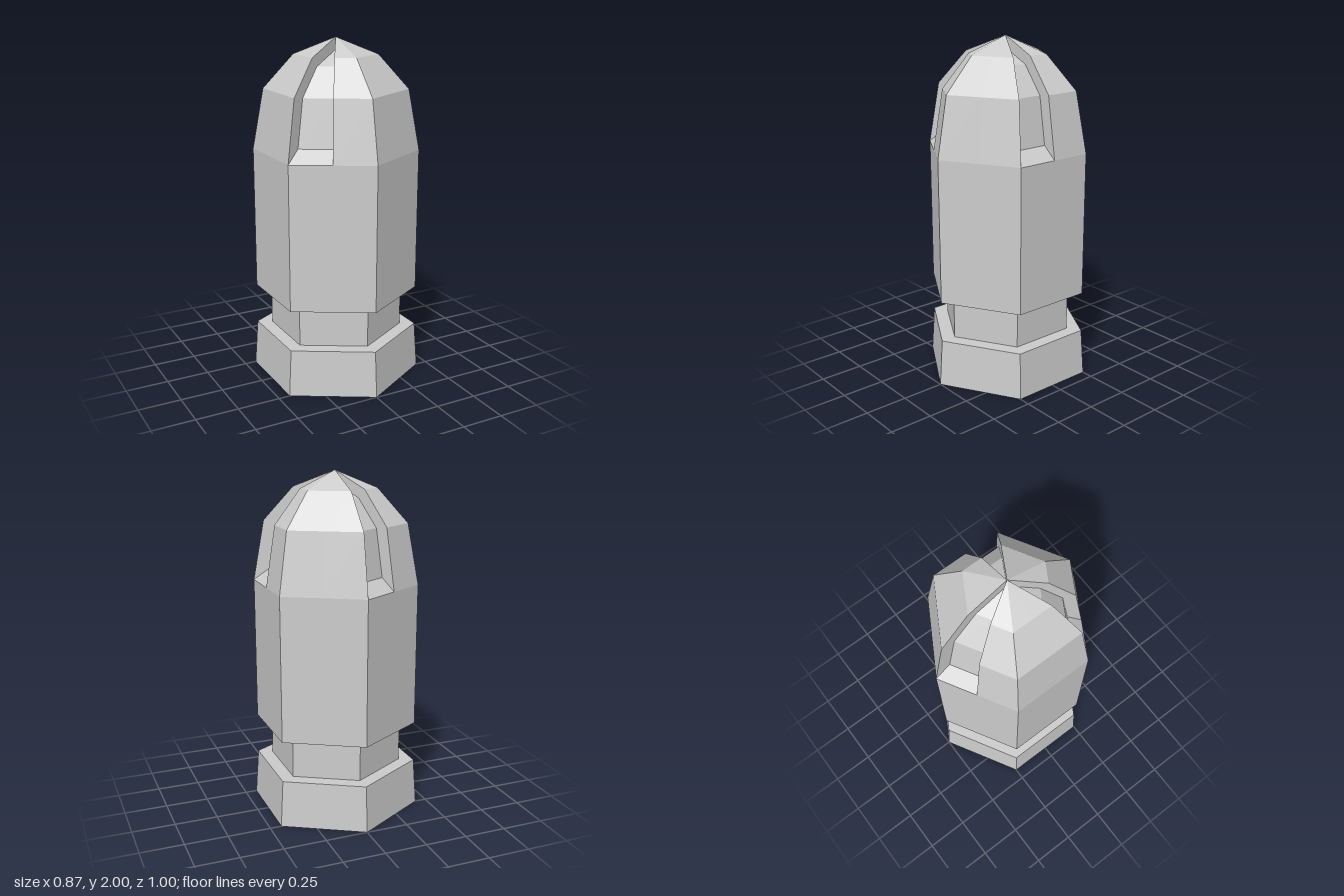
import * as THREE from 'three';

const material = new THREE.MeshStandardMaterial({ color: 0xcccccc, flatShading: true });

// Profiles as [corner radius, height], bottom to top
const BASE = [[0, 0], [0.5, 0], [0.48, 0.275], [0.39, 0.275]];
const NECK = [[0.39, 0.275], [0.39, 0.515]];
const BODY = [[0.39, 0.515], [0.48, 0.515], [0.48, 1.36]];
const NOSE = [[0.48, 1.36], [0.415, 1.71], [0.24, 1.905], [0, 2]];
const FLOOR = [[0.48, 1.36], [0.385, 1.43], [0.335, 1.7], [0.193, 1.855], [0, 1.93]];
// Outer nose edge matched point for point with the groove floor
const RIM = [NOSE[0], ...NOSE];

const ALL = [...Array(12).keys()];
const GROOVES = [0, 4, 8]; // every third face loses one half

// Point on the hexagon at step k of 30 degrees; odd steps are corners
function point([r, y], k) {
  const a = (k * Math.PI) / 6;
  const d = k % 2 ? r : r * Math.cos(Math.PI / 6);
  return new THREE.Vector3(d * Math.cos(a), y, d * Math.sin(a));
}

// Adds a quad, dropping triangles that have collapsed
function quad(out, a, b, c, d) {
  for (const t of [[a, b, c], [a, c, d]]) {
    if (new THREE.Triangle(...t).getArea() > 1e-7) t.forEach((p) => out.push(p.x, p.y, p.z));
  }
}

// Half-face strips following a profile
function strips(out, profile, steps) {
  for (const k of steps) {
    for (let j = 0; j < profile.length - 1; j++) {
      const p = profile[j], q = profile[j + 1];
      quad(out, point(p, k + 1), point(p, k), point(q, k), point(q, k + 1));
    }
  }
  return out;
}

// Radial side wall between groove floor and nose surface
function wall(out, k, flip) {
  for (let j = 0; j < FLOOR.length - 1; j++) {
    const c = [FLOOR[j], RIM[j], RIM[j + 1], FLOOR[j + 1]].map((p) => point(p, k));
    quad(out, ...(flip ? c.reverse() : c));
  }
}

function mesh(name, positions) {
  const g = new THREE.BufferGeometry();
  g.setAttribute('position', new THREE.Float32BufferAttribute(positions, 3));
  g.computeVertexNormals();
  const m = new THREE.Mesh(g, material);
  m.name = name;
  return m;
}

export function createModel() {
  const model = new THREE.Group();
  model.name = 'hexagonalBullet';

  model.add(mesh('base', strips([], BASE, ALL)));
  model.add(mesh('neck', strips([], NECK, ALL)));
  model.add(mesh('body', strips([], BODY, ALL)));

  // Faceted nose, open where the grooves are cut
  model.add(mesh('nose', strips([], NOSE, ALL.filter((k) => !GROOVES.includes(k)))));

  // Three recessed grooves with sloped lower ledges
  for (const k of GROOVES) {
    const positions = strips([], FLOOR, [k]);
    wall(positions, k, false);
    wall(positions, k + 1, true);
    model.add(mesh('noseGroove', positions));
  }
  return model;
}
